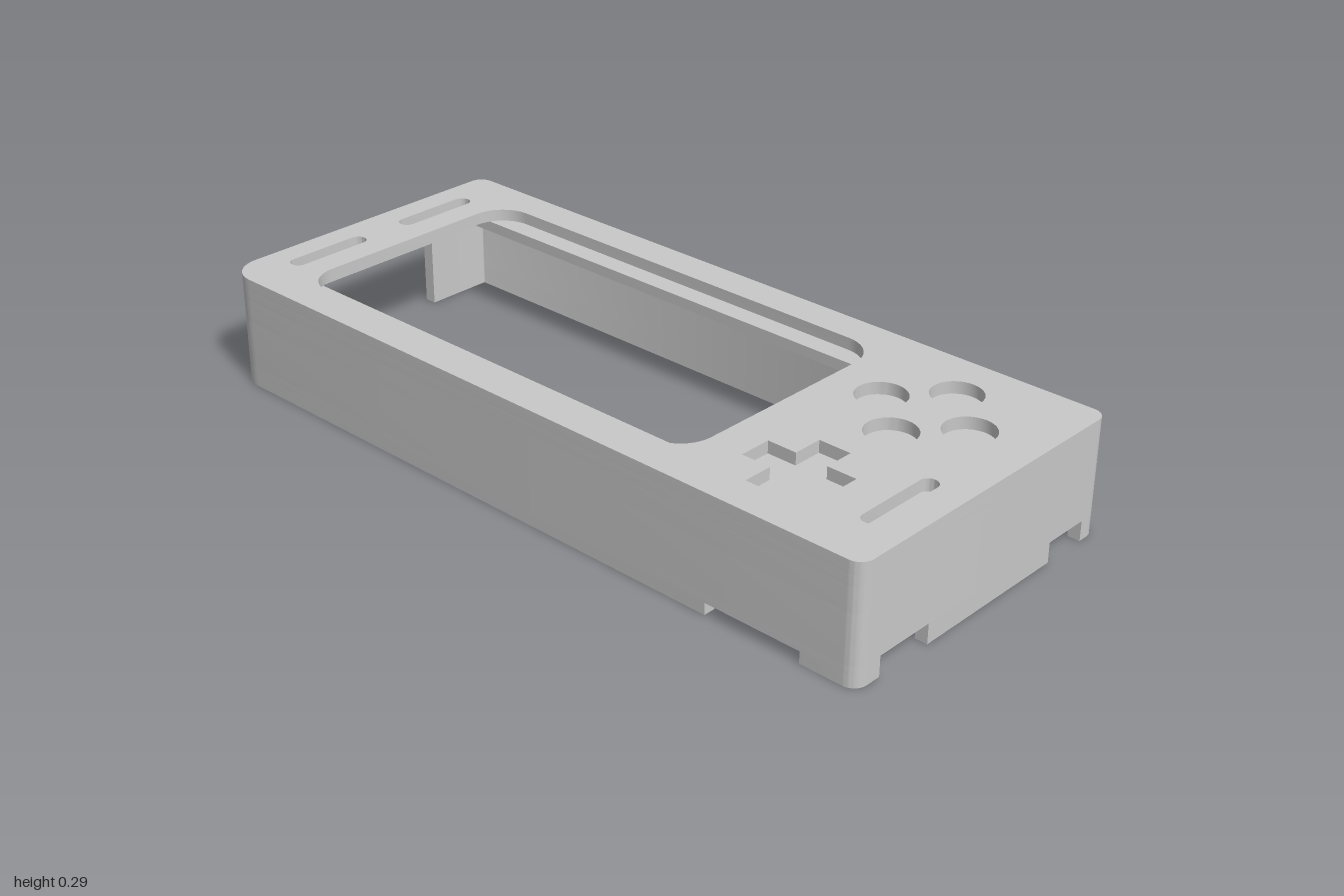
import * as THREE from 'three';
import { toCreasedNormals } from 'three/addons/utils/BufferGeometryUtils.js';

const W = 0.427, L = 1, WALL = 0.032;          // half width, half length, wall thickness
const CEILING = 0.235, LEDGE = 0.263, TOP = 0.294;
const SMALL_R = 0.035, BIG_R = 0.085;

// Points of a rounded rectangle in plan; radii order: back left, back right, front right, front left
function roundedRect(x0, x1, z0, z1, radii) {
  const corners = [[x0, z0, 1, 1, 180], [x1, z0, -1, 1, 270], [x1, z1, -1, -1, 0], [x0, z1, 1, -1, 90]];
  const points = [];
  corners.forEach(([x, z, sx, sz, start], i) => {
    const r = radii[i];
    for (let k = 0; k <= 10; k++) {
      const a = THREE.MathUtils.degToRad(start + 9 * k);
      points.push([x + sx * r + r * Math.cos(a), z + sz * r + r * Math.sin(a)]);
    }
  });
  return points;
}

function circle(x, z, r) {
  return Array.from({ length: 40 }, (_, i) => {
    const a = i / 40 * Math.PI * 2;
    return [x + r * Math.cos(a), z + r * Math.sin(a)];
  });
}

function cross(x, z, r, h) {
  return [[-h, -r], [h, -r], [h, -h], [r, -h], [r, h], [h, h], [h, r], [-h, r], [-h, h], [-r, h], [-r, -h], [-h, -h]]
    .map(([a, b]) => [x + a, z + b]);
}

const slot = (x0, x1, z0, z1) => roundedRect(x0, x1, z0, z1, Array(4).fill((z1 - z0) / 2 - 0.0005));

// L-shaped length of wall round one corner, ending at x = xEnd and z = zEnd
function cornerWall(sx, sz, xEnd, zEnd) {
  const r = sx < 0 && sz < 0 ? BIG_R : SMALL_R;
  const cx = W - r, cz = L - r;
  const arc = (radius) => Array.from({ length: 11 }, (_, k) => {
    const a = k / 10 * Math.PI / 2;
    return [sx * (cx + radius * Math.cos(a)), sz * (cz + radius * Math.sin(a))];
  });
  return [
    [sx * W, zEnd], ...arc(r), [xEnd, sz * L],
    [xEnd, sz * (L - WALL)], ...arc(r - WALL).reverse(), [sx * (W - WALL), zEnd],
  ];
}

export function createModel() {
  const model = new THREE.Group();
  model.name = 'handheldCase';
  const grey = new THREE.MeshStandardMaterial({ color: 0xc8c8c8 });
  grey.name = 'grey plastic';

  // Raise a plan outline from y0 to y1; holes run the opposite way round to the outline
  const slab = (name, outline, y0, y1, holes = []) => {
    const vectors = (pts) => pts.map(([x, z]) => new THREE.Vector2(x, -z));
    const shape = new THREE.Shape(vectors(outline));
    shape.holes = holes.map((h) => new THREE.Path(vectors(h).reverse()));
    const geometry = new THREE.ExtrudeGeometry(shape, { depth: y1 - y0, bevelEnabled: false });
    geometry.rotateX(-Math.PI / 2).translate(0, y0, 0);
    const mesh = new THREE.Mesh(toCreasedNormals(geometry, 0.6), grey);
    mesh.name = name;
    model.add(mesh);
  };

  // Face plate: upper layer with window and button recesses, lower layer forming the ledges
  const outline = roundedRect(-W, W, -L, L, [BIG_R, SMALL_R, SMALL_R, SMALL_R]);
  const recesses = [
    roundedRect(-0.335, 0.335, -0.818, 0.447, Array(4).fill(0.09)),
    slot(-0.296, -0.063, -0.934, -0.889),
    slot(0.061, 0.295, -0.934, -0.889),
    slot(-0.296, -0.063, 0.879, 0.923),
    cross(-0.214, 0.663, 0.119, 0.042),
    ...[[0.16, 0.588], [0.16, 0.826], [0.041, 0.707], [0.278, 0.707]].map(([x, z]) => circle(x, z, 0.062)),
  ];
  slab('facePlate', outline, LEDGE, TOP, recesses);
  slab('screenLedge', outline, CEILING, LEDGE, [
    [[-0.282, -0.87], [0.281, -0.87], [0.281, 0.49], [-0.282, 0.49]],
  ]);

  // Side walls in bands: side notch, front notches, back port opening, full ring
  const bands = [
    { y0: 0, y1: 0.03, ends: [[-0.215, 0.598], [0.21, 0], [0.365, 0], [-0.352, 0.855]] },
    { y0: 0.03, y1: 0.051, ends: [[-0.215, 0], [0.21, 0], [0.365, 0], [-0.352, 0]] },
    { y0: 0.051, y1: 0.175, ends: [[-0.215, 0], [0.21, 0], [0, 0], [0, 0]] },
    { y0: 0.175, y1: CEILING, ends: [[0, 0], [0, 0], [0, 0], [0, 0]] },
  ];
  const signs = [[-1, -1], [1, -1], [1, 1], [-1, 1]];
  const names = ['backLeftWall', 'backRightWall', 'frontRightWall', 'frontLeftWall'];
  for (const { y0, y1, ends } of bands) {
    signs.forEach(([sx, sz], i) => slab(names[i], cornerWall(sx, sz, ...ends[i]), y0, y1));
  }
  slab('frontWallTab', [[-0.193, L - WALL], [0.241, L - WALL], [0.241, L], [-0.193, L]], 0, 0.051);

  // Hollow screw posts joined to the walls
  const profile = [[0, 0.15], [0.036, 0.15], [0.036, 0.025], [0.049, 0.014], [0.049, 0], [0.06, 0], [0.06, 0.187], [0, 0.187]]
    .map(([r, y]) => new THREE.Vector2(r, y));
  const postGeometry = toCreasedNormals(new THREE.LatheGeometry(profile, 32), 0.5);
  for (const [x, z] of [[-0.35, 0.493], [0.35, 0.493], [0.003, 0.923]]) {
    const post = new THREE.Mesh(postGeometry, grey);
    post.name = 'screwPost';
    post.position.set(x, 0, z);
    model.add(post);
  }
  return model;
}
